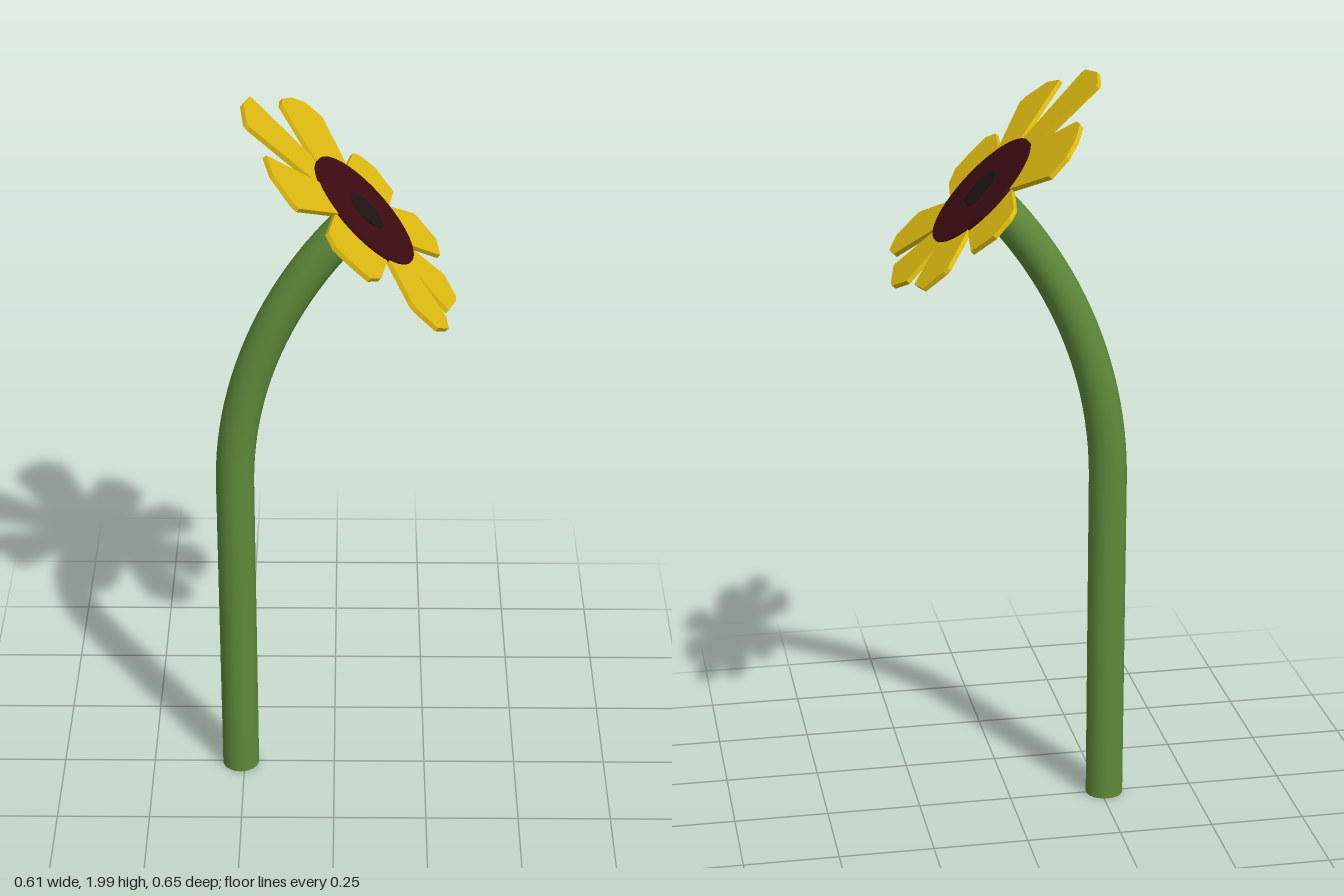
import * as THREE from 'three';

const TILT = Math.PI / 4;
const HEAD = new THREE.Vector3(0.073, 1.7, 0);
const STEM_X = -0.26, BEND_Y = 0.91, BEND_R = 1.105, STEM_R = 0.05;

// Straight stalk that turns into a circular bend
class StemCurve extends THREE.Curve {
  getPoint(t, target = new THREE.Vector3()) {
    const s = t * (BEND_Y + BEND_R * TILT);
    if (s < BEND_Y) return target.set(STEM_X, s, 0);
    const a = (s - BEND_Y) / BEND_R;
    return target.set(STEM_X + BEND_R * (1 - Math.cos(a)), BEND_Y + BEND_R * Math.sin(a), 0);
  }
}

// Petal outlines as plan positions [x, z], from root around the tip and back
const PETALS = [
  [[-0.04, -0.05], [-0.2, -0.075], [-0.205, -0.07], [-0.218, 0], [-0.207, 0.09], [-0.198, 0.096], [-0.04, 0.065]],
  [[-0.05, -0.045], [-0.133, -0.18], [-0.133, -0.215], [-0.11, -0.275], [-0.078, -0.318], [-0.035, -0.325], [0.03, -0.17]],
  [[0.03, -0.17], [0.047, -0.29], [0.063, -0.313], [0.103, -0.325], [0.151, -0.282], [0.137, -0.16]],
  [[0.137, -0.16], [0.2, -0.25], [0.21, -0.25], [0.258, -0.221], [0.267, -0.146], [0.188, -0.046]],
  [[0.192, -0.046], [0.278, -0.066], [0.306, -0.005], [0.306, 0.02], [0.285, 0.112], [0.192, 0.066]],
  [[0.188, 0.066], [0.274, 0.168], [0.278, 0.223], [0.251, 0.271], [0.199, 0.271], [0.188, 0.262], [0.135, 0.143]],
  [[0.131, 0.148], [0.115, 0.268], [0.09, 0.318], [0.046, 0.323], [0.008, 0.316], [-0.01, 0.273], [0.005, 0.143]],
  [[0.008, 0.143], [-0.081, 0.3], [-0.097, 0.296], [-0.144, 0.246], [-0.162, 0.179], [-0.04, 0.066]],
];

export function createModel() {
  const material = (name, color) => {
    const m = new THREE.MeshStandardMaterial({ color });
    m.name = name;
    return m;
  };
  const green = material('stem green', 0x5f8a3a);
  const yellow = material('petal yellow', 0xe0bd10);
  const maroon = material('disc maroon', 0x3d0c11);
  const black = material('dark centre', 0x211314);

  const add = (parent, name, geometry, mat) => {
    const mesh = new THREE.Mesh(geometry, mat);
    mesh.name = name;
    parent.add(mesh);
    return mesh;
  };

  const model = new THREE.Group();
  model.name = 'flower';

  // Stem with a closed foot
  add(model, 'stem', new THREE.TubeGeometry(new StemCurve(), 48, STEM_R, 24), green);
  const foot = add(model, 'stemFoot', new THREE.CircleGeometry(STEM_R, 24).rotateX(Math.PI / 2), green);
  foot.position.x = STEM_X;

  // Tilted flower head, local y points out of its face
  const head = new THREE.Group();
  head.name = 'flowerHead';
  head.position.copy(HEAD);
  head.rotation.z = -TILT;
  model.add(head);

  // Flat petals, each tapering to the middle under the disc
  PETALS.forEach((outline, i) => {
    const points = outline.map(([x, z]) => new THREE.Vector2((x - HEAD.x) / Math.cos(TILT), z));
    points.push(new THREE.Vector2(0, 0));
    const petal = new THREE.ExtrudeGeometry(new THREE.Shape(points), { depth: 0.012, bevelEnabled: false });
    petal.rotateX(Math.PI / 2);
    add(head, 'petal' + (i + 1), petal, yellow).position.y = i % 2 ? 0.002 : -0.002;
  });

  // Seed disc and its dark middle
  const disc = add(head, 'seedDisc', new THREE.CylinderGeometry(0.17, 0.17, 0.012, 64), maroon);
  disc.position.set(0, 0, -0.005);
  const centre = add(head, 'discCentre', new THREE.CylinderGeometry(0.057, 0.057, 0.006, 10), black);
  centre.position.set(0, 0.006, -0.003);

  return model;
}
